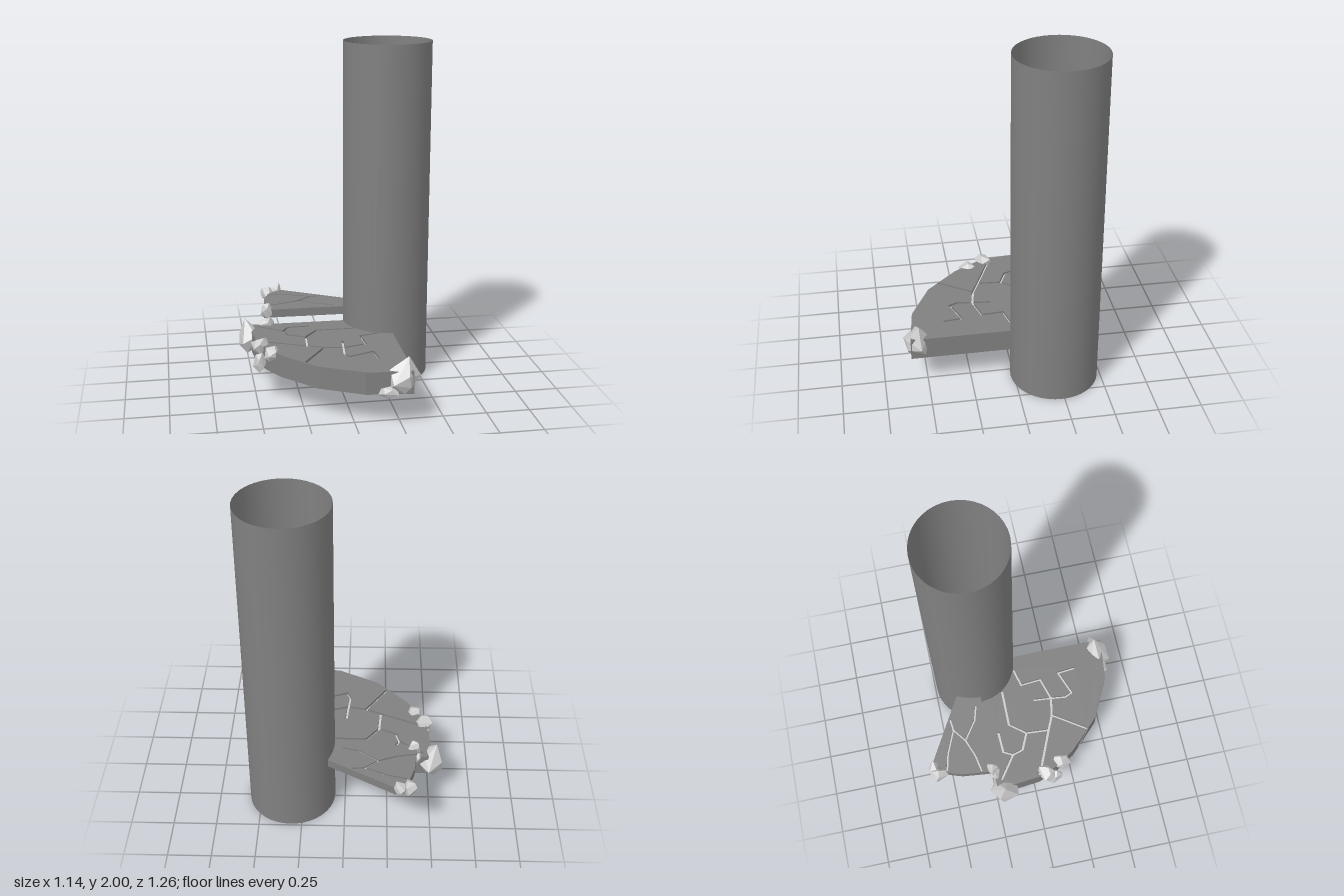
import * as THREE from 'three';
import { ConvexGeometry } from 'three/addons/geometries/ConvexGeometry.js';

const stone = new THREE.MeshStandardMaterial({ color: 0xcccccc, side: THREE.DoubleSide });
const darkStone = new THREE.MeshStandardMaterial({ color: 0x808080, side: THREE.DoubleSide });

function add(parent, name, geometry, material) {
  const mesh = new THREE.Mesh(geometry, material);
  mesh.name = name;
  parent.add(mesh);
  return mesh;
}

function seeded(seed) {
  let s = seed * 7919 + 17;
  return () => (s = (s * 16807) % 2147483647) / 2147483647;
}

// Walks around a branching crack, node = [x, z, ...children], and returns its outline
function crackOutline(root, half) {
  const tour = [];
  const visit = (node, from) => {
    tour.push(node);
    const turn = (c) => {
      const ax = node[0] - from[0], az = node[1] - from[1];
      const bx = c[0] - node[0], bz = c[1] - node[1];
      return Math.atan2(ax * bz - az * bx, ax * bx + az * bz);
    };
    const children = node.slice(2);
    if (from) children.sort((a, b) => turn(a) - turn(b));
    for (const child of children) {
      visit(child, node);
      tour.push(node);
    }
  };
  visit(root, null);
  tour.pop();

  const out = [];
  const normal = (a, b) => new THREE.Vector2(b[1] - a[1], a[0] - b[0]).normalize();
  tour.forEach((p, i) => {
    const prev = tour[(i + tour.length - 1) % tour.length];
    const next = tour[(i + 1) % tour.length];
    const n1 = normal(prev, p), n2 = normal(p, next);
    const here = new THREE.Vector2(p[0], p[1]);
    if (prev === next) {
      out.push(here.clone().addScaledVector(n1, half), here.clone().addScaledVector(n2, half));
    } else {
      const k = half / Math.max(0.35, 1 + n1.dot(n2));
      out.push(here.addScaledVector(n1.add(n2), k));
    }
  });
  return out;
}

// Flat slab in x and z whose upper face lies at the given height
function slab(shape, top, depth) {
  return new THREE.ExtrudeGeometry(shape, { depth, bevelEnabled: false })
    .rotateX(Math.PI / 2).translate(0, top, 0);
}

// Deck with a branching crack sunk into its upper face
function deck(name, points, crack, bottom, top, groove, half) {
  const group = new THREE.Group();
  group.name = name;
  const outline = points.map(([x, z]) => new THREE.Vector2(x, z));
  const hollow = crackOutline(crack, half);
  const cut = new THREE.Shape(outline);
  cut.holes.push(new THREE.Path(hollow));
  add(group, 'crackedSurface', slab(cut, top, groove), darkStone);
  add(group, 'deckBase', slab(new THREE.Shape(outline), top - groove, top - groove - bottom), darkStone);
  add(group, 'crackFloor', slab(new THREE.Shape(hollow), top - groove + 0.002, 0.002), stone);
  return group;
}

// Angular boulder filling a box; an optional tip is given in box fractions
function boulder([x0, x1], [y0, y1], [z0, z1], seed, tip) {
  const rand = seeded(seed);
  const points = [];
  for (let i = 0; i < 13; i++) {
    const y = 1 - (2 * (i + 0.5)) / 13;
    const a = i * 2.4 + rand() * 0.9;
    const r = Math.sqrt(1 - y * y) * (0.8 + rand() * 0.35);
    points.push(new THREE.Vector3(r * Math.cos(a), y * (tip ? 0.75 : 1), r * Math.sin(a)));
  }
  if (tip) points.push(new THREE.Vector3(tip[0] * 2 - 1, 1.15, tip[1] * 2 - 1));
  const box = new THREE.Box3().setFromPoints(points);
  const size = box.getSize(new THREE.Vector3());
  for (const p of points) {
    p.sub(box.min).divide(size);
    p.set(x0 + p.x * (x1 - x0), y0 + p.y * (y1 - y0), z0 + p.z * (z1 - z0));
  }
  return new ConvexGeometry(points);
}

export function createModel() {
  const model = new THREE.Group();
  model.name = 'pillarWithBrokenSteps';

  // Open round pillar
  const pillar = new THREE.CylinderGeometry(0.255, 0.255, 2, 40, 1, true);
  add(model, 'pillar', pillar.translate(0.315, 1, -0.235), darkStone);

  // Lower, thick deck
  model.add(deck('lowerDeck', [
    [0.31, 0.02], [0.235, 0], [0.165, -0.035], [0.11, -0.09], [0.07, -0.16], [0.055, -0.235],
    [-0.49, -0.245], [-0.505, -0.13], [-0.49, 0.02], [-0.45, 0.13], [-0.37, 0.26],
    [-0.19, 0.445], [0.05, 0.565], [0.31, 0.595],
  ],
  [-0.46, -0.21, [-0.32, -0.11,
    [-0.29, -0.165, [-0.16, -0.17]],
    [-0.3, -0.045, [-0.2, 0,
      [-0.125, -0.095, [0.1, -0.092]],
      [-0.21, 0.14,
        [-0.48, 0.025],
        [-0.12, 0.18,
          [-0.249, 0.373],
          [-0.01, 0.2,
            [0, 0.09],
            [0.125, 0.16, [0.115, 0.035, [0.225, 0.007]]],
            [-0.02, 0.29, [0, 0.335, [0.145, 0.28, [0.155, 0.39]]]],
          ]]]]]]],
  0.19, 0.32, 0.018, 0.007));

  // Upper, thin deck
  model.add(deck('upperDeck', [
    [0.06, -0.235], [0.07, -0.31], [0.095, -0.38], [-0.29, -0.6], [-0.37, -0.53],
    [-0.4, -0.44], [-0.415, -0.31], [-0.42, -0.245],
  ],
  [-0.36, -0.525, [-0.255, -0.5, [-0.115, -0.44,
    [-0.045, -0.447],
    [-0.195, -0.38,
      [-0.3, -0.34, [-0.405, -0.32]],
      [-0.08, -0.3, [0.01, -0.275]],
    ]]]],
  0.36, 0.41, 0.012, 0.005));

  // Cracks running down the outer side of the lower deck
  const sideCrack = [[-0.25, 0.32], [-0.325, 0.225], [-0.28, 0.195]]
    .map(([x, y]) => new THREE.Vector3(x, y, 0.26 + (x + 0.37) * 1.028));
  for (let i = 0; i < 2; i++) {
    const [a, b] = [sideCrack[i], sideCrack[i + 1]];
    const strip = add(model, 'sideCrack', new THREE.BoxGeometry(0.006, 0.006, a.distanceTo(b)), darkStone);
    strip.position.copy(a).lerp(b, 0.5);
    strip.lookAt(b);
  }

  // Boulders clinging to the rims
  const boulders = [
    ['frontBoulder', [0.18, 0.36], [0.18, 0.39], [0.49, 0.63], 3, [0.66, 0.45]],
    ['frontPebble', [0.11, 0.23], [0.17, 0.24], [0.54, 0.61], 5],
    ['backBoulder', [-0.575, -0.44], [0.17, 0.38], [-0.29, -0.12], 8, [0.3, 0.5]],
    ['backPebble', [-0.45, -0.36], [0.28, 0.36], [-0.28, -0.21], 9],
    ['upperDeckBoulder', [-0.44, -0.365], [0.35, 0.45], [-0.295, -0.22], 11],
    ['sideBoulder', [-0.525, -0.425], [0.26, 0.36], [0.015, 0.12], 13],
    ['sideShard', [-0.52, -0.44], [0.17, 0.29], [0.05, 0.17], 15],
    ['sidePebble', [-0.46, -0.375], [0.26, 0.345], [0.11, 0.23], 17],
    ['upperBackBoulder', [-0.41, -0.33], [0.35, 0.44], [-0.635, -0.52], 19],
    ['upperBackShard', [-0.36, -0.28], [0.37, 0.46], [-0.635, -0.57], 21, [0.8, 0.5]],
  ];
  for (const [name, x, y, z, seed, tip] of boulders) {
    add(model, name, boulder(x, y, z, seed, tip), stone);
  }
  return model;
}
